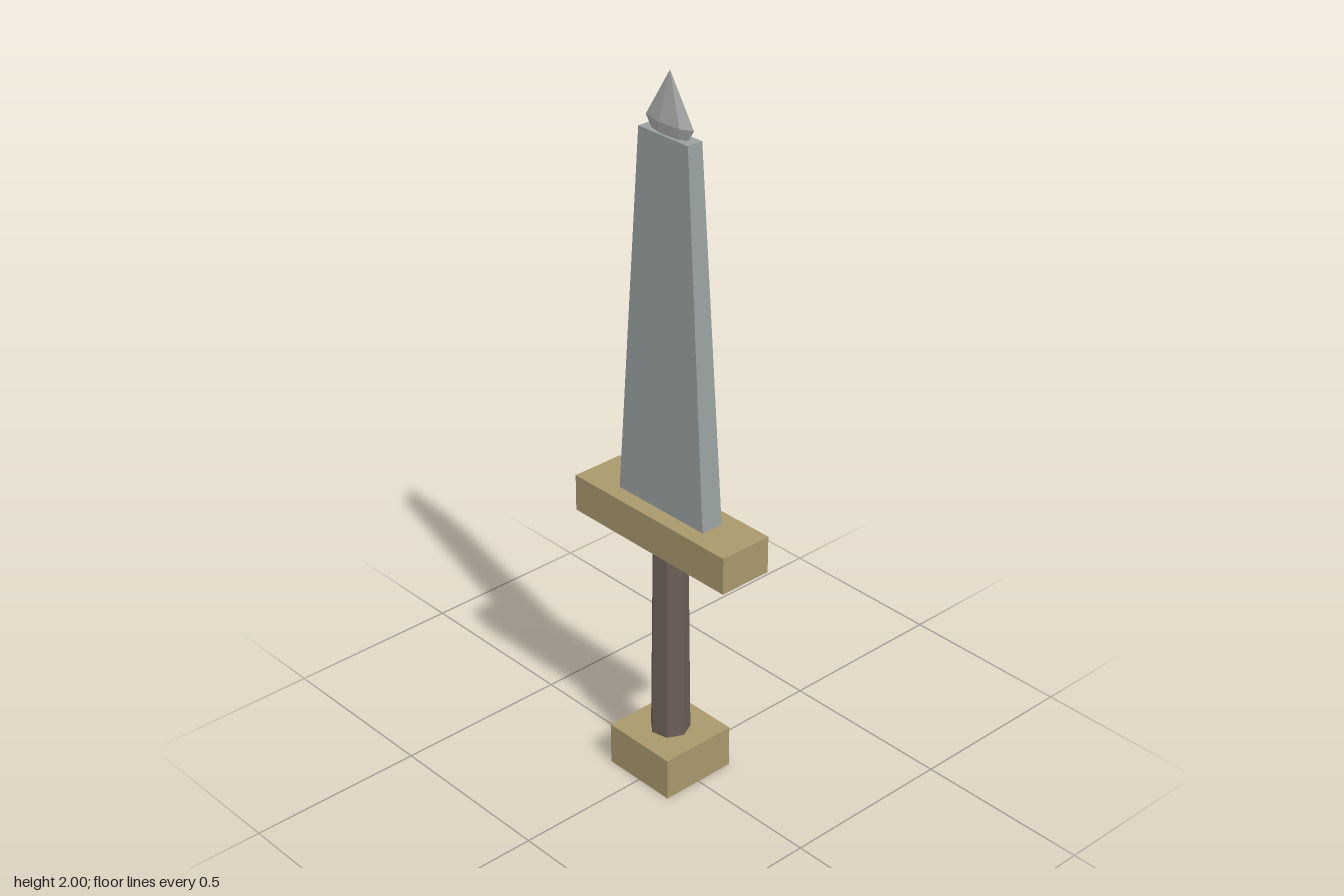
import * as THREE from 'three';

export function createModel() {
  const model = new THREE.Group();
  const mat = (color) => new THREE.MeshStandardMaterial({ color, flatShading: true });
  const brass = mat(0xa8986c);
  const grip = mat(0x6b5f57);
  const steel = mat(0x98a0a0);
  const bright = mat(0xa9aba9);

  const add = (name, geometry, material, bottom, top) => {
    const mesh = new THREE.Mesh(geometry, material);
    mesh.name = name;
    mesh.position.y = (bottom + top) / 2;
    model.add(mesh);
    return mesh;
  };

  // Square pommel and wide crossguard
  add('pommel', new THREE.BoxGeometry(0.226, 0.122, 0.226), brass, 0, 0.122);
  add('crossguard', new THREE.BoxGeometry(0.56, 0.105, 0.156), brass, 0.71, 0.815);

  // Seven-sided handle, slightly tapered, with one corner towards +x
  add('handle', new THREE.CylinderGeometry(0.048, 0.055, 0.588, 7, 1, false, Math.PI / 2), grip, 0.122, 0.71);

  // Blade: a box whose top is drawn in
  const blade = new THREE.BoxGeometry(0.314, 1.025, 0.066);
  const p = blade.attributes.position;
  for (let i = 0; i < p.count; i++) {
    if (p.getY(i) > 0) {
      p.setX(i, Math.sign(p.getX(i)) * 0.087);
      p.setZ(i, Math.sign(p.getZ(i)) * 0.023);
    }
  }
  blade.computeVertexNormals();
  add('blade', blade, steel, 0.815, 1.84);

  // Tip: a flattened seven-sided double cone, its lower point sunk in the blade
  const profile = [[0, -0.13], [0.083, 0], [0, 0.13]].map(([x, y]) => new THREE.Vector2(x, y));
  const tip = new THREE.LatheGeometry(profile, 7, Math.PI / 2);
  tip.scale(1, 1, 0.27);
  add('bladeTip', tip, bright, 1.74, 2);

  return model;
}
